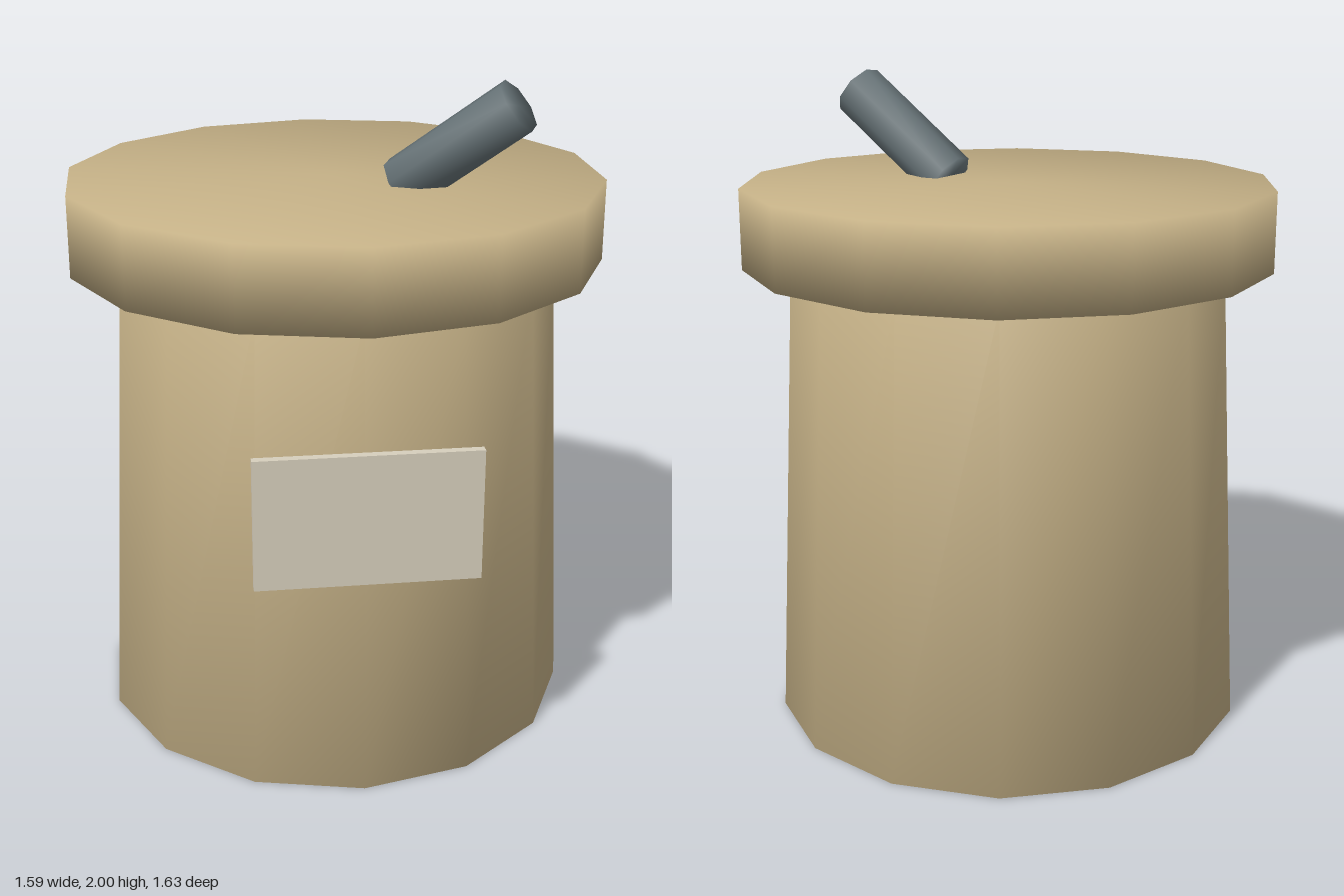
import * as THREE from 'three';
import { mergeVertices } from 'three/addons/utils/BufferGeometryUtils.js';

const material = (name, color) => {
  const m = new THREE.MeshStandardMaterial({ color });
  m.name = name;
  return m;
};

// Low-sided cylinder whose normals blend across the rims
function softCylinder(rTop, rBottom, height, sides) {
  const g = new THREE.CylinderGeometry(rTop, rBottom, height, sides);
  g.deleteAttribute('normal');
  g.deleteAttribute('uv');
  const merged = mergeVertices(g, 1e-4);
  merged.computeVertexNormals();
  return merged;
}

export function createModel() {
  const model = new THREE.Group();
  const tan = material('tan', 0xc4b086);
  const cream = material('cream', 0xd6cebc);
  const slate = material('slate', 0x647074);

  const add = (name, geometry, mat, x, y, z) => {
    const mesh = new THREE.Mesh(geometry, mat);
    mesh.name = name;
    mesh.position.set(x, y, z);
    model.add(mesh);
    return mesh;
  };

  // Tapered jar body and overhanging lid
  add('body', softCylinder(0.67, 0.74, 1.44, 14), tan, 0, 0.72, 0);
  add('lid', softCylinder(0.815, 0.815, 0.245, 14), tan, 0, 1.56, 0);

  // Label plate standing just off the front
  add('label', new THREE.BoxGeometry(0.64, 0.39, 0.025), cream, 0, 0.895, 0.767);

  // Slanted handle resting in the lid
  const low = new THREE.Vector3(0.19, 1.675, 0.12);
  const high = new THREE.Vector3(0.49, 1.932, 0.293);
  const axis = high.clone().sub(low);
  const mid = low.clone().add(high).multiplyScalar(0.5);
  const handle = add('handle', softCylinder(0.085, 0.085, axis.length(), 8), slate, mid.x, mid.y, mid.z);
  handle.quaternion.setFromUnitVectors(new THREE.Vector3(0, 1, 0), axis.normalize());

  return model;
}
